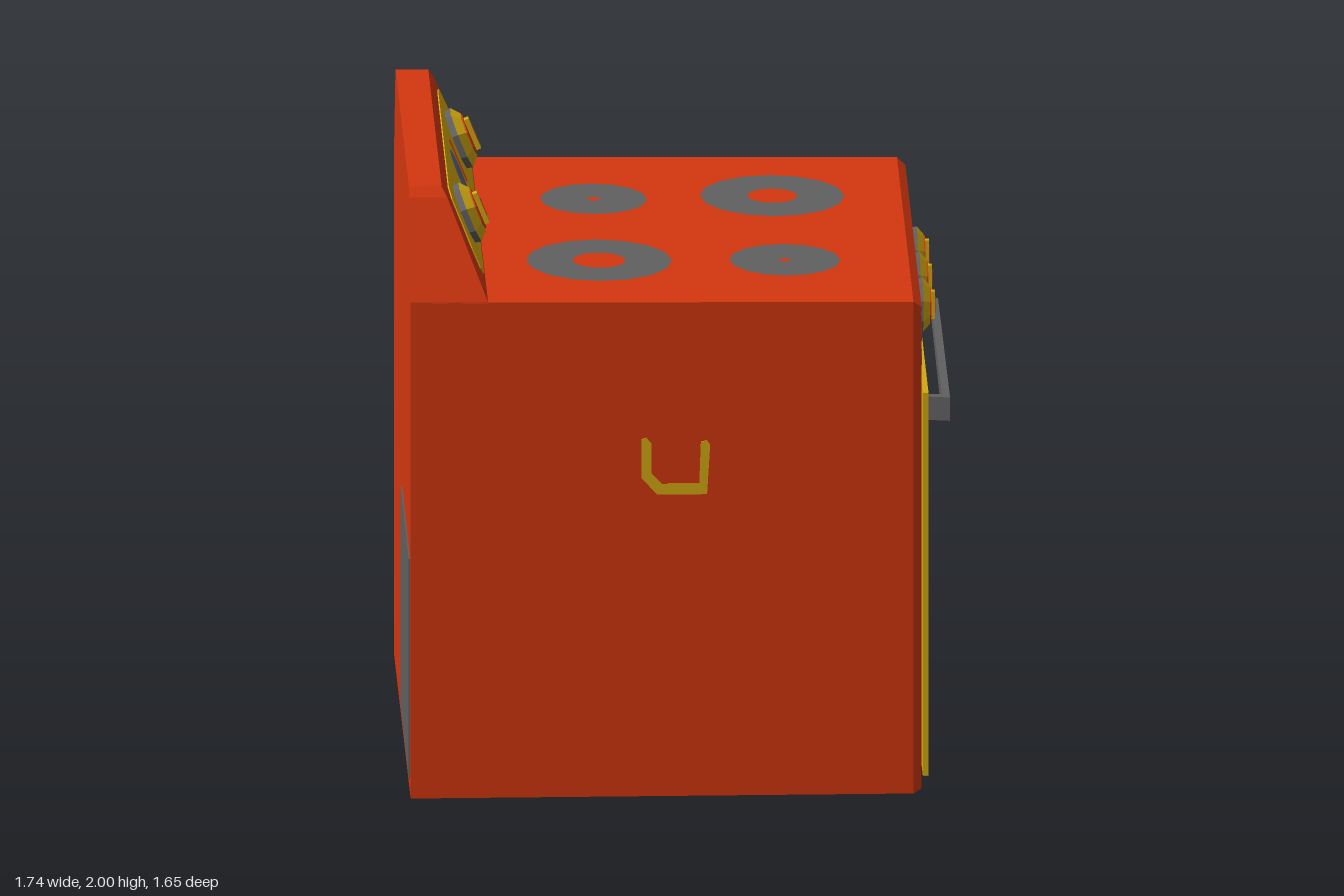
import * as THREE from 'three';

const mat = (name, color) => Object.assign(new THREE.MeshStandardMaterial({ color }), { name });

export function createModel() {
  const red = mat('red enamel', 0xd4370f);
  const yellow = mat('yellow', 0xd4a910);
  const blue = mat('blue', 0x566b99);
  const grey = mat('grey', 0x606060);

  const stove = new THREE.Group();
  stove.name = 'stove';

  const group = (parent, name, x = 0, y = 0, z = 0) => {
    const g = new THREE.Group();
    g.name = name;
    g.position.set(x, y, z);
    parent.add(g);
    return g;
  };
  const add = (parent, name, geometry, material, x = 0, y = 0, z = 0) => {
    const m = new THREE.Mesh(geometry, material);
    m.name = name;
    m.position.set(x, y, z);
    parent.add(m);
    return m;
  };
  // Move every vertex by a rule, then give each face its own flat normal
  const reshape = (geometry, rule) => {
    const g = geometry.index ? geometry.toNonIndexed() : geometry;
    const p = g.attributes.position;
    for (let i = 0; i < p.count; i++) p.setXYZ(i, ...rule(p.getX(i), p.getY(i), p.getZ(i)));
    g.computeVertexNormals();
    return g;
  };
  const polygon = (pts) => new THREE.Shape(pts.map(([x, y]) => new THREE.Vector2(x, y)));
  // Rectangle with cut corners
  const rectPoints = (x0, y0, x1, y1, c) => [
    [x0 + c, y0], [x1 - c, y0], [x1, y0 + c], [x1, y1 - c],
    [x1 - c, y1], [x0 + c, y1], [x0, y1 - c], [x0, y0 + c]];
  const slab = (shape, depth = 0.004) =>
    new THREE.ExtrudeGeometry(shape, { depth, bevelEnabled: false });
  const panel = (x0, y0, x1, y1, c, depth) => slab(polygon(rectPoints(x0, y0, x1, y1, c)), depth);

  // Body: box with bevelled front edges, top falling slightly to the front
  const bodySections = [ // x, half width, bottom, top
    [-0.87, 0.825, 0, 1.66], [0.745, 0.82, 0, 1.645], [0.772, 0.802, 0.012, 1.622]];
  add(stove, 'body', reshape(new THREE.BoxGeometry(2, 1, 2, 2, 1, 1), (x, y, z) => {
    const [sx, half, bottom, top] = bodySections[Math.round(x) + 1];
    return [sx, y > 0 ? top : bottom, z * half];
  }), red);

  // Backsplash: leaning front, sides tapering to the top
  const splashSections = [ // y, half width, front x
    [1.655, 0.825, -0.62], [1.97, 0.685, -0.748], [2, 0.66, -0.765]];
  add(stove, 'backsplash', reshape(new THREE.BoxGeometry(2, 2, 2, 1, 2, 1), (x, y, z) => {
    const [sy, half, front] = splashSections[Math.round(y) + 1];
    return [x > 0 ? front : -0.87, sy, z * half];
  }), red);

  // Eight-sided knob pointing along +z
  const knob = (parent, name, x, y, r) => {
    const k = group(parent, name, x, y, 0.002);
    const disc = (part, r0, r1, h, z, material) => {
      const g = new THREE.CylinderGeometry(r1, r0, h, 8).rotateY(Math.PI / 8).rotateX(Math.PI / 2);
      add(k, part, reshape(g, (...v) => v), material, 0, 0, z + h / 2);
    };
    disc('knobSkirt', r * 0.95, r, r * 0.22, 0, grey);
    disc('knobRing', r, r * 0.72, r * 0.25, r * 0.22, yellow);
    disc('knobCap', r * 0.66, r * 0.66, 0.004, r * 0.47, red);
    add(k, 'knobGrip', new THREE.BoxGeometry(r * 0.28, r * 1.05, r * 0.2), yellow, 0, 0, r * 0.56);
    add(k, 'knobMark', new THREE.BoxGeometry(r * 0.08, r * 0.6, 0.004), red, 0, 0, r * 0.66);
  };

  // Backsplash panel, laid on the leaning face
  const lean = group(stove, 'backsplashControls', -0.69, 1.83, 0);
  lean.rotation.z = 0.388;
  const splash = group(lean, 'backsplashPanel', 0.003);
  splash.rotation.y = Math.PI / 2;
  add(splash, 'panelPlate', slab(polygon([
    [-0.62, -0.15], [0.62, -0.15], [0.64, -0.12], [0.63, 0.06], [0.6, 0.13],
    [0.54, 0.14], [-0.56, 0.145], [-0.61, 0.12], [-0.645, -0.05], [-0.645, -0.12]])), yellow);
  for (const u of [-0.43, 0.41]) knob(splash, 'backsplashKnob', u, 0.005, 0.103);
  add(splash, 'clockFace', new THREE.CircleGeometry(0.095, 12), blue, 0.01, 0, 0.007);
  add(splash, 'clockCentre', new THREE.CircleGeometry(0.045, 8), grey, 0.005, 0, 0.01);
  add(splash, 'indicator', new THREE.BoxGeometry(0.02, 0.15, 0.003), red, 0.165, 0.01, 0.006);

  // Oven front
  const front = group(stove, 'ovenFront', 0.772);
  front.rotation.y = Math.PI / 2;
  add(front, 'controlPanel', panel(-0.67, 1.33, 0.67, 1.578, 0.02), blue);
  add(front, 'displayUpper', panel(-0.61, 1.45, -0.405, 1.545, 0.01, 0.003), grey, 0, 0, 0.004);
  add(front, 'displayLower', panel(-0.63, 1.375, -0.42, 1.42, 0.01, 0.003), grey, 0, 0, 0.004);
  for (const u of [-0.24, 0.052, 0.335]) knob(front, 'ovenKnob', u, 1.465, 0.088);

  const door = polygon(rectPoints(-0.76, 0.04, 0.76, 1.325, 0.002));
  door.holes.push(new THREE.Path(
    rectPoints(-0.495, 0.38, 0.485, 0.99, 0.02).map(([x, y]) => new THREE.Vector2(x, y))));
  add(front, 'door', slab(door, 0.018), yellow, 0, 0, 0.005);
  add(front, 'window', panel(-0.51, 0.37, 0.5, 1.0, 0.01), blue, 0, 0, 0.002);

  // Door handle: bracket narrowing toward one end
  const bracket = slab(polygon([
    [-0.575, 0.015], [-0.545, 0.015], [-0.55, 0.073], [0.565, 0.073], [0.565, 0.015],
    [0.6, 0.015], [0.602, 0.098], [-0.59, 0.098]]), 1);
  bracket.translate(0, 0, -0.5).rotateX(Math.PI / 2);
  add(front, 'handle', reshape(bracket, (x, y, z) => [x, y * (0.058 - 0.034 * x), z]),
    grey, 0, 1.217, 0);

  // Burners: flat rings on the cooktop
  const cooktop = group(stove, 'cooktop', 0, 1.656, 0);
  cooktop.rotation.z = -0.0093;
  const burners = [ // x, z, outer radius, inner radius
    [-0.245, -0.335, 0.172, 0.02], [0.33, -0.37, 0.232, 0.08],
    [-0.25, 0.36, 0.234, 0.085], [0.347, 0.355, 0.178, 0.018]];
  for (const [x, z, outer, inner] of burners)
    add(cooktop, 'burner', new THREE.RingGeometry(inner, outer, 16).rotateX(-Math.PI / 2), grey, x, 0, z);

  // Side grips: flat hooks, turned half round on the far side
  const hook = polygon([
    [-0.11, 0.09], [-0.11, -0.04], [-0.06, -0.095], [0.1, -0.095], [0.11, 0.07], [0.1, 0.085],
    [0.08, 0.08], [0.075, -0.06], [-0.045, -0.06], [-0.078, -0.025], [-0.078, 0.075], [-0.095, 0.095]]);
  for (const side of [1, -1]) {
    const grip = add(stove, 'sideGrip', slab(hook), yellow, -0.018, 1.105, side * 0.8225);
    if (side < 0) grip.rotation.y = Math.PI;
  }

  // Rear service plate
  const back = group(stove, 'rear', -0.87);
  back.rotation.y = -Math.PI / 2;
  add(back, 'servicePlate', slab(polygon([
    [-0.05, 0.055], [0.75, 0.045], [0.75, 0.78], [0, 0.8], [-0.05, 0.76]])), grey);

  return stove;
}
